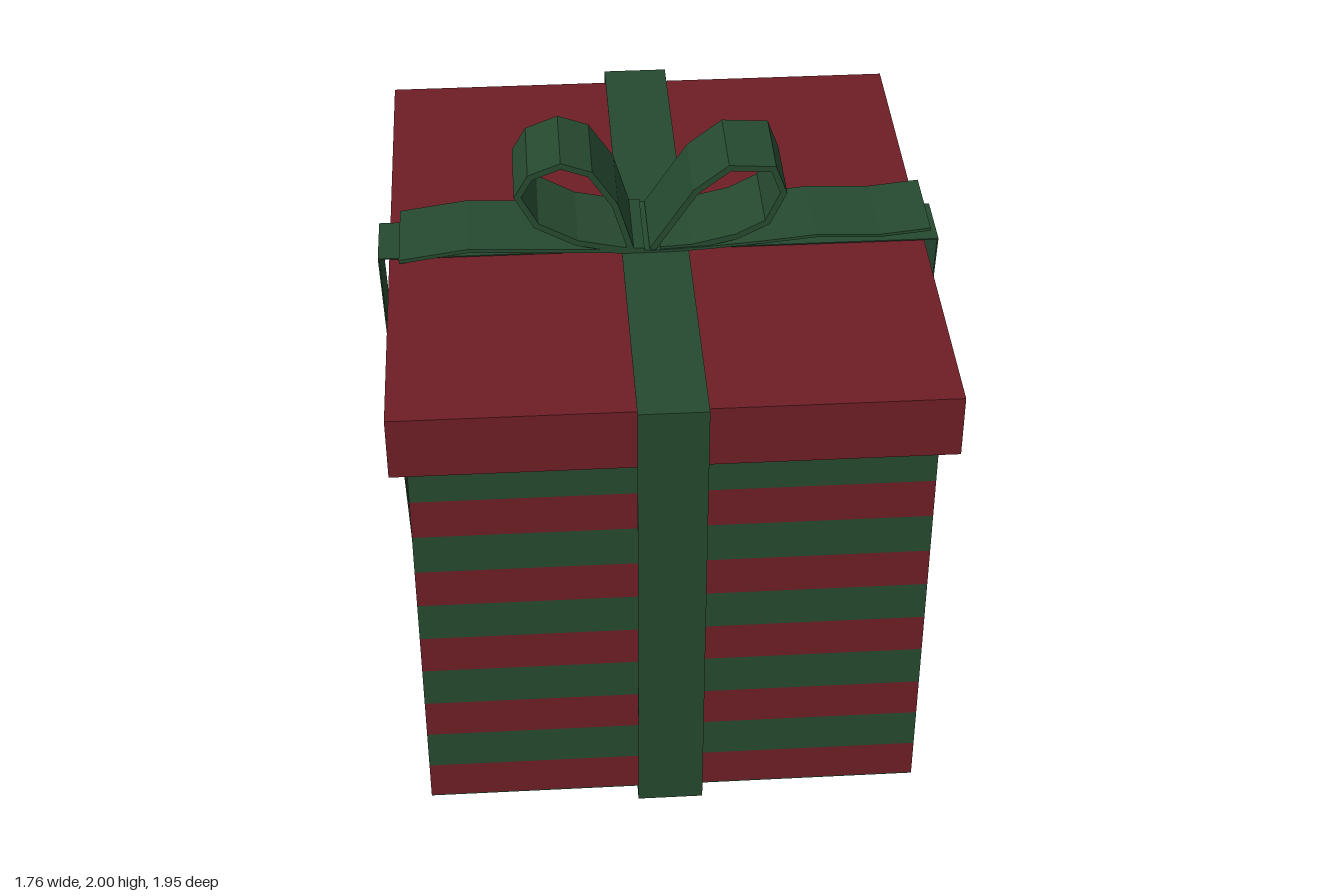
import * as THREE from 'three';

const RED = new THREE.MeshStandardMaterial({ color: 0x6e1e25, flatShading: true });
const GREEN = new THREE.MeshStandardMaterial({ color: 0x264a30, flatShading: true, side: THREE.DoubleSide });

// Box given by its limits on each axis
function block(name, material, [x0, x1], [y0, y1], [z0, z1]) {
  const mesh = new THREE.Mesh(new THREE.BoxGeometry(x1 - x0, y1 - y0, z1 - z0), material);
  mesh.position.set((x0 + x1) / 2, (y0 + y1) / 2, (z0 + z1) / 2);
  mesh.name = name;
  return mesh;
}

// Flat band of even thickness that follows a path in xy and spans z0..z1
function band(name, path, thickness, z0, z1, closed = false) {
  const pts = path.map(([x, y]) => new THREE.Vector2(x, y));
  const n = pts.length;
  const side = (s) => pts.map((p, i) => {
    const prev = closed ? pts[(i + n - 1) % n] : pts[Math.max(i - 1, 0)];
    const next = closed ? pts[(i + 1) % n] : pts[Math.min(i + 1, n - 1)];
    const a = p.clone().sub(prev).normalize();
    const b = next.clone().sub(p).normalize();
    const t = a.clone().add(b).normalize();
    const dir = a.lengthSq() ? a : b;
    const mitre = (s * thickness) / 2 / Math.max(t.dot(dir), 0.5);
    return new THREE.Vector2(p.x - t.y * mitre, p.y + t.x * mitre);
  });
  const left = side(1), right = side(-1);
  let shape;
  if (closed) {
    // counter-clockwise path: the right side is the outer one
    shape = new THREE.Shape(right);
    shape.holes.push(new THREE.Path(left));
  } else {
    shape = new THREE.Shape([...left, ...right.reverse()]);
  }
  const geometry = new THREE.ExtrudeGeometry(shape, { depth: z1 - z0, bevelEnabled: false, steps: 1 });
  geometry.translate(0, 0, z0);
  const mesh = new THREE.Mesh(geometry, GREEN);
  mesh.name = name;
  return mesh;
}

export function createModel() {
  const gift = new THREE.Group();
  gift.name = 'giftBox';

  // Striped body
  const bodyX = [-0.797, 0.785], bodyZ = [-0.845, 0.87];
  const levels = [0.037, 0.172, 0.312, 0.45, 0.592, 0.73, 0.868, 1.005, 1.145, 1.283, 1.44];
  const body = new THREE.Group();
  body.name = 'stripedBody';
  for (let i = 0; i < levels.length - 1; i++) {
    body.add(block(`stripe${i + 1}`, i % 2 ? GREEN : RED, bodyX, [levels[i], levels[i + 1]], bodyZ));
  }
  body.add(block('base', GREEN, bodyX, [0.033, 0.037], bodyZ));
  gift.add(body);

  // Lid
  gift.add(block('lid', RED, [-0.847, 0.838], [1.438, 1.645], [-0.923, 0.938]));

  // Two ribbons round the box, drawn in slightly towards the bottom
  const across = band('ribbonSideToSide',
    [[-0.825, 0.013], [0.82, 0.013], [0.88, 1.653], [-0.88, 1.653]], 0.004, -0.078, 0.123, true);
  const along = band('ribbonFrontToBack',
    [[-0.872, 0.002], [0.895, 0.002], [0.97, 1.658], [-0.973, 1.658]], 0.004, -0.09, 0.12, true);
  along.rotation.y = -Math.PI / 2;
  gift.add(across, along);

  // Bow: two loops and two tails
  const bow = new THREE.Group();
  bow.name = 'bow';
  bow.add(
    band('rightLoop', [[-0.05, 1.667], [-0.11, 1.672], [-0.26, 1.705], [-0.385, 1.775], [-0.44, 1.88],
      [-0.4, 1.95], [-0.305, 1.988], [-0.215, 1.955], [-0.14, 1.84], [-0.09, 1.667]], 0.02, -0.13, 0.15),
    band('leftLoop', [[0.0, 1.667], [0.1, 1.672], [0.24, 1.705], [0.335, 1.755], [0.383, 1.86],
      [0.35, 1.948], [0.215, 1.957], [0.11, 1.875], [-0.025, 1.667]], 0.02, -0.125, 0.145),
    band('rightTail', [[-0.03, 1.662], [-0.2, 1.672], [-0.4, 1.681], [-0.6, 1.69], [-0.815, 1.658]],
      0.013, -0.13, 0.15),
    band('leftTail', [[-0.03, 1.662], [0.15, 1.67], [0.32, 1.683], [0.49, 1.7], [0.69, 1.692], [0.85, 1.709]],
      0.01, -0.13, 0.15),
  );
  gift.add(bow);
  return gift;
}
